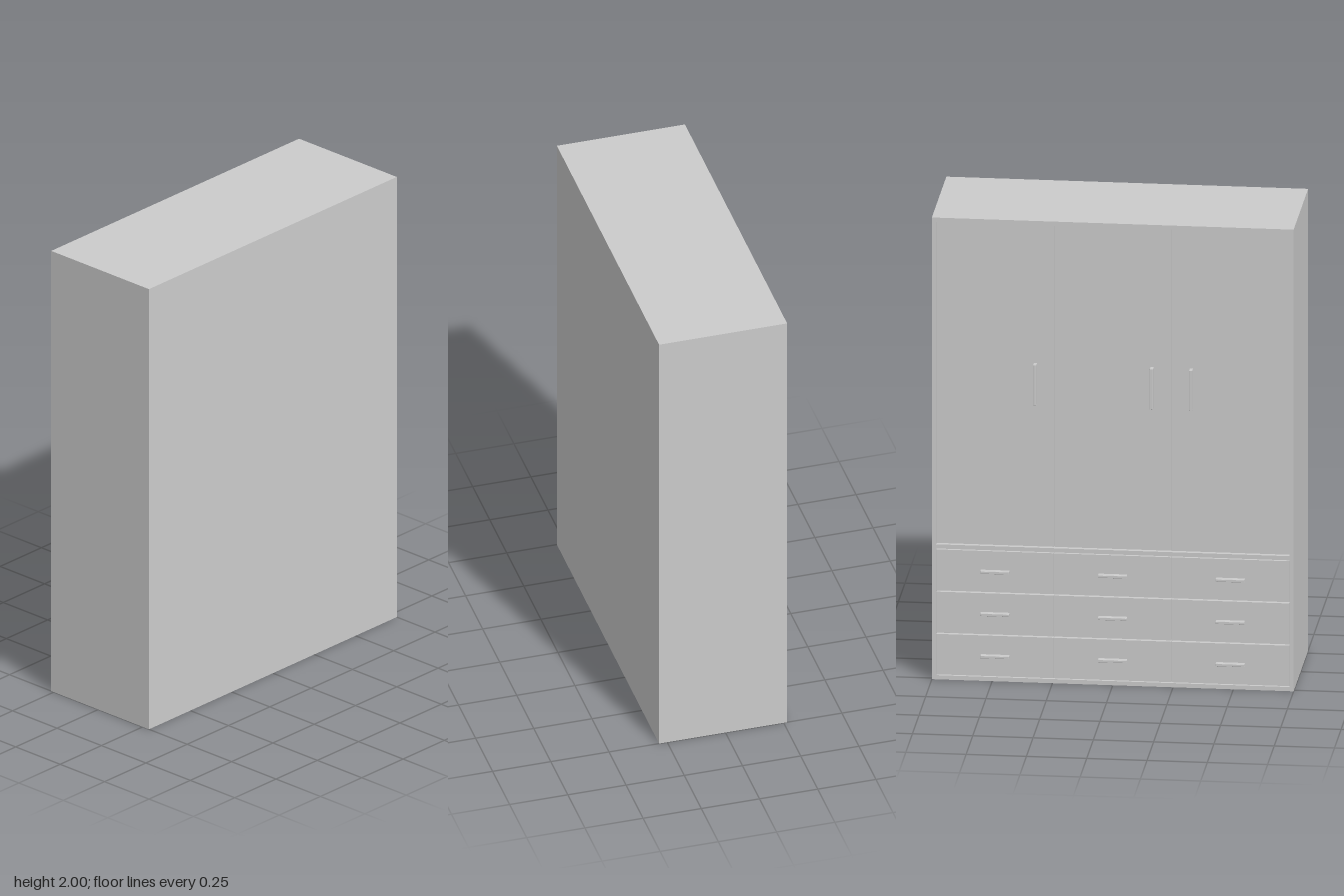
import * as THREE from 'three';
import { RoundedBoxGeometry } from 'three/addons/geometries/RoundedBoxGeometry.js';

export function createModel() {
  const model = new THREE.Group();
  const material = new THREE.MeshStandardMaterial({ color: 0xcccccc, flatShading: true });

  // Adds a named box from its minimum and maximum corners
  function box(name, [x0, y0, z0], [x1, y1, z1], radius = 0) {
    const size = [x1 - x0, y1 - y0, z1 - z0];
    const geometry = radius
      ? new RoundedBoxGeometry(...size, 1, radius)
      : new THREE.BoxGeometry(...size);
    const mesh = new THREE.Mesh(geometry, material);
    mesh.name = name;
    mesh.position.set((x0 + x1) / 2, (y0 + y1) / 2, (z0 + z1) / 2);
    model.add(mesh);
  }

  const W = 0.75, H = 2, T = 0.018;     // half width, height, board thickness
  const open = -0.265, back = 0.285;    // the doors and drawers face -z
  const inner = W - T;
  const railBottom = 0.567, railTop = railBottom + T;

  // Carcass
  for (const s of [-1, 1]) {
    const xs = [s * W, s * inner].sort((a, b) => a - b);
    box('sidePanel', [xs[0], 0, open], [xs[1], H, back]);
  }
  box('topPanel', [-inner, H - T, open], [inner, H, back]);
  box('bottomPanel', [-inner, 0, open], [inner, T, back]);
  box('backPanel', [-inner, T, back - T], [inner, H - T, back]);
  box('middleShelf', [-inner, railBottom, open], [inner, railTop, back - T]);

  // Three columns of doors above and drawers below
  const column = 2 * inner / 3, gap = 0.001;
  const doorFace = open + 0.01, drawerFace = open + 0.003;
  const doorHandleX = [-0.325, -0.162, 0.322];
  const rows = 3, pitch = (railBottom - T) / rows;

  for (let c = 0; c < 3; c++) {
    const x0 = -inner + c * column + gap, x1 = x0 + column - 2 * gap;
    box('door', [x0, railTop + 0.003, doorFace], [x1, H - T - 0.003, doorFace + T]);
    const hx = doorHandleX[c];
    box('doorHandle', [hx - 0.007, 1.205, -0.285], [hx + 0.007, 1.382, doorFace], 0.002);

    for (let r = 0; r < rows; r++) {
      const y0 = T + r * pitch, mid = y0 + pitch / 2, x = (c - 1) * column;
      box('drawerFront', [x0, y0 + 0.003, drawerFace], [x1, y0 + pitch - 0.005, drawerFace + T]);
      box('drawerHandle', [x - 0.06, mid - 0.006, -0.285], [x + 0.06, mid + 0.006, drawerFace], 0.002);
    }
  }
  return model;
}
